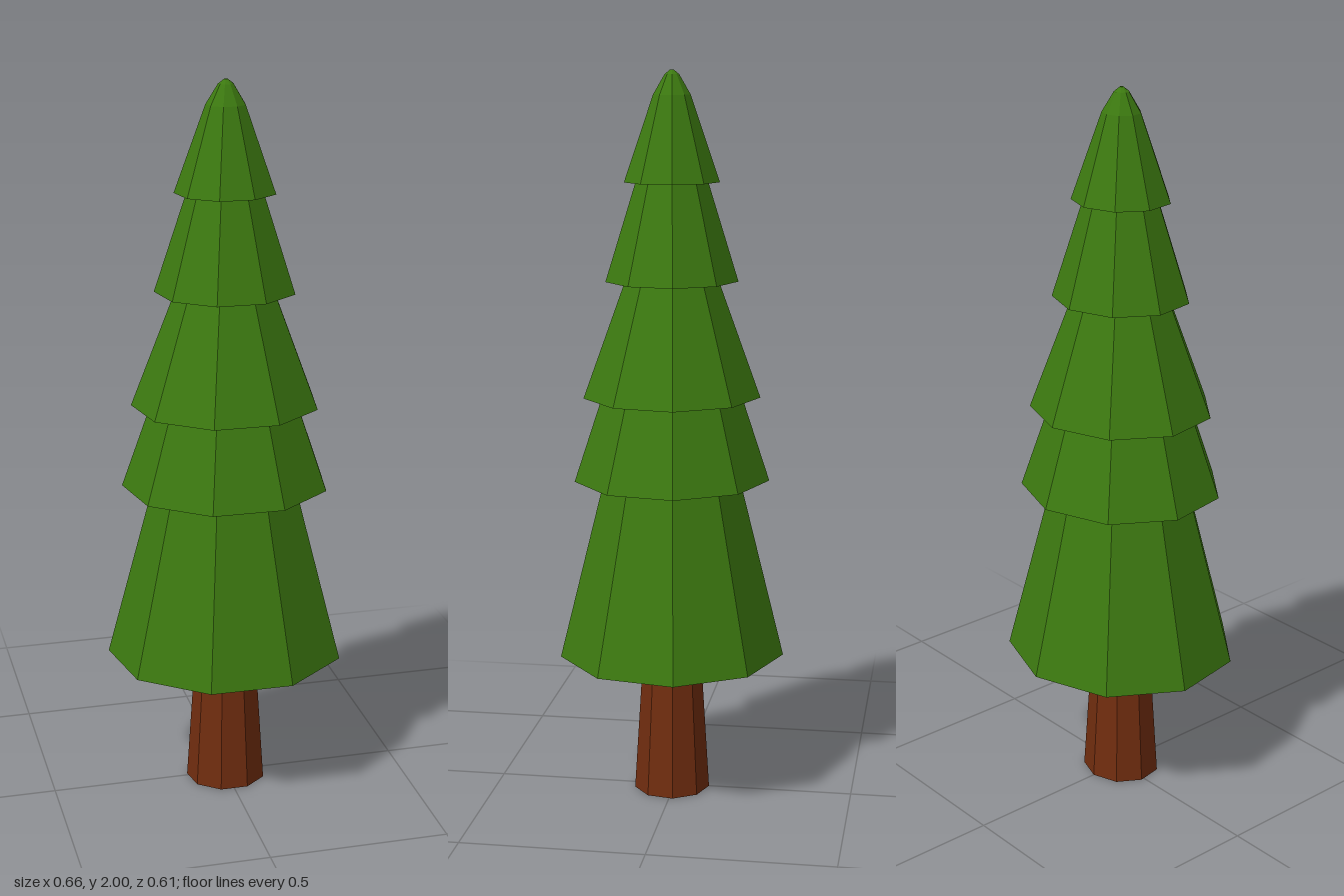
import * as THREE from 'three';

const SIDES = 9;
const DEPTH = 0.94; // the tree is slightly narrower front to back
const CENTRE_Z = 0.0085;

// Faceted nine-sided solid from a [radius, height] profile, bottom to top
function facetedLathe(profile) {
  const points = profile.map(([r, y]) => new THREE.Vector2(r, y));
  const geometry = new THREE.LatheGeometry(points, SIDES, Math.PI)
    .scale(1, 1, DEPTH)
    .translate(0, 0, CENTRE_Z)
    .toNonIndexed();
  geometry.computeVertexNormals();
  return geometry;
}

export function createModel() {
  const tree = new THREE.Group();
  tree.name = 'pineTree';

  const needleGreen = new THREE.MeshStandardMaterial({ color: 0x3c7910 });
  needleGreen.name = 'needleGreen';
  const barkBrown = new THREE.MeshStandardMaterial({ color: 0x712d0f });
  barkBrown.name = 'barkBrown';

  function add(name, profile, material) {
    const mesh = new THREE.Mesh(facetedLathe(profile), material);
    mesh.name = name;
    tree.add(mesh);
  }

  // Tapered trunk, running up into the hollow of the lowest branches
  add('trunk', [[0, 0], [0.113, 0], [0.076, 0.56]], barkBrown);

  // Branch tiers: rim radius and height, then radius and height at the top
  const tiers = [
    [0.333, 0.4, 0.193, 0.925],
    [0.287, 0.895, 0.195, 1.155],
    [0.259, 1.125, 0.125, 1.47],
    [0.193, 1.44, 0.095, 1.735],
  ];
  tiers.forEach(([rim, y, top, topY], i) => {
    // The lowest tier is hollow underneath; the others tuck in over the tier below
    const underside = i === 0
      ? [[0, 0.54], [0.24, 0.54]]
      : [[tiers[i - 1][2] - 0.003, y + 0.03]];
    add(`branchTier${i + 1}`, [...underside, [rim, y], [top, topY]], needleGreen);
  });

  // Rounded crown
  add('crown', [
    [0.092, 1.735], [0.138, 1.705], [0.054, 1.935],
    [0.021, 1.988], [0.005, 2], [0, 2],
  ], needleGreen);

  return tree;
}
